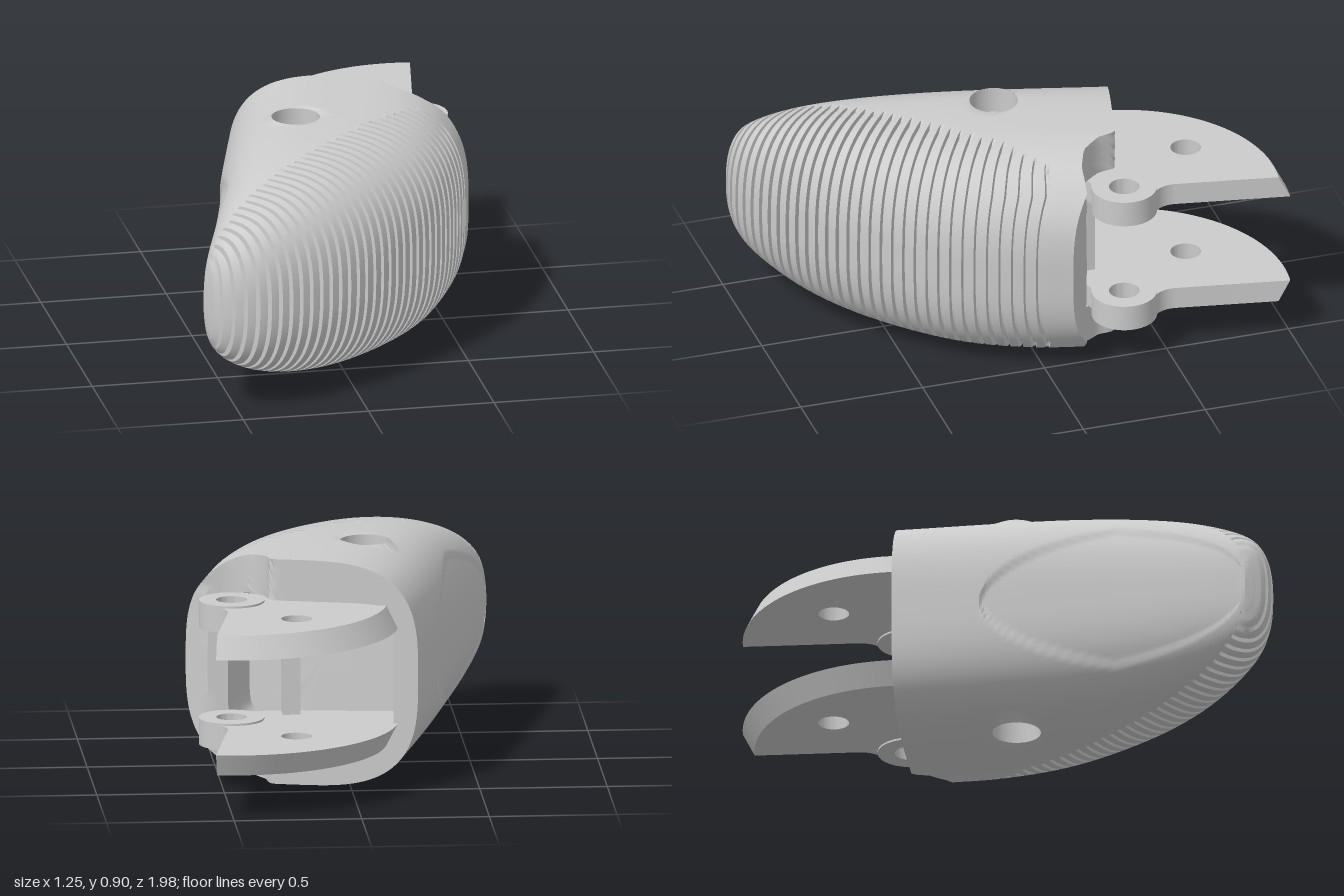
import * as THREE from 'three';
import { toCreasedNormals } from 'three/addons/utils/BufferGeometryUtils.js';

const MID = 0.45, SEG = 140;
const material = new THREE.MeshStandardMaterial({ color: 0xcccccc });
const twoSided = new THREE.MeshStandardMaterial({ color: 0xcccccc, side: THREE.DoubleSide });
const curve = (pts) => new THREE.CatmullRomCurve3(pts.map(([x, z]) => new THREE.Vector3(x, 0, z)));
const smooth = (x) => THREE.MathUtils.smoothstep(x, 0, 1);

// Plan outline of the fingertip: nail side, pad side and notched base edge
const nailSide = curve([[-0.26, -0.49], [-0.37, -0.1], [-0.49, 0.35], [-0.59, 0.7], [-0.63, 0.86]]);
const padSide = curve([[0.62, -0.08], [0.56, 0.1], [0.42, 0.36], [0.2, 0.61], [0, 0.78], [-0.2, 0.9],
  [-0.42, 0.985], [-0.54, 0.975], [-0.6, 0.93], [-0.63, 0.86]]);
const baseEdge = [[0, -0.26, -0.49], [0.6, 0.31, -0.35], [0.66, 0.32, -0.28], [0.74, 0.38, -0.2],
  [0.84, 0.46, -0.165], [0.93, 0.55, -0.16], [1, 0.62, -0.08]];

function baseAt(u) {
  let i = 0;
  while (i < baseEdge.length - 2 && u > baseEdge[i + 1][0]) i++;
  const [a, b] = [baseEdge[i], baseEdge[i + 1]];
  const f = (u - a[0]) / (b[0] - a[0]);
  return new THREE.Vector3(a[1] + (b[1] - a[1]) * f, 0, a[2] + (b[2] - a[2]) * f);
}

// Maps t (base to tip) and u (nail to pad side) to the plan; the base edge fades out with t
function makePlan(t) {
  const l = nailSide.getPointAt(t), r = padSide.getPointAt(t);
  const l0 = nailSide.getPointAt(0), r0 = padSide.getPointAt(0);
  const k = Math.max(0, 1 - t / 0.3) ** 2;
  const at = (u) => {
    const p = l.clone().lerp(r, u);
    if (k > 0) p.addScaledVector(baseAt(u).sub(l0.clone().lerp(r0, u)), k);
    return p;
  };
  return { at, width: l.distanceTo(r) };
}

// Superellipse in section coordinates
function sectionPoint(j, n) {
  const a = (j / SEG) * Math.PI * 2, c = Math.cos(a), s = Math.sin(a);
  const r = 1 / (Math.abs(c) ** n + Math.abs(s) ** n) ** (1 / n);
  return { c, s, u: r * c, v: r * s };
}

// Outer ring; groove = 1 sinks the pad surface between two ribs
function outerRing(t, groove) {
  const plan = makePlan(t), h = 0.45 * Math.sqrt(1 - t ** 3), n = 3.2 - 0.9 * t;
  const across = plan.at(1).sub(plan.at(0)).normalize();
  const padEdge = t < 0.2 ? 0.9 - 1.1 * t : 0.68 - 0.55 * (t - 0.2);
  const nailLimit = 0.75 * Math.sqrt(Math.min(1, Math.max(0, (t - 0.25) / 0.35)));
  return Array.from({ length: SEG }, (_, j) => {
    const { c, s, u, v } = sectionPoint(j, n);
    const uu = 0.5 + 0.5 * u;
    const ribs = groove * 0.024 * smooth((uu - padEdge) / 0.03);
    const nail = u < 0 ? 0.012 * smooth((nailLimit - Math.abs(v)) / 0.05) : 0;
    const depth = Math.min(ribs + nail, 0.15 * plan.width);
    const p = plan.at(uu).addScaledVector(across, -depth * c);
    p.y = MID + v * h - depth * s;
    return p;
  });
}

// Ring inside the base: f = 0 is the cavity edge, f = 1 the outer edge
function innerRing(t, f, size = 1) {
  const plan = makePlan(t), mix = THREE.MathUtils.lerp;
  return Array.from({ length: SEG }, (_, j) => {
    const i = sectionPoint(j, 9), o = sectionPoint(j, 3.2);
    const p = plan.at(mix(0.47 + 0.37 * i.u * size, 0.5 + 0.5 * o.u, f));
    p.y = MID + mix(0.285 * i.v * size, 0.45 * o.v, f);
    return p;
  });
}

// Skin over rings, with round openings for the cross bore
const BORE = { x: -0.09, z: 0.02, r: 0.095, half: 0.437 };
function loft(rings, boreFrom) {
  const pts = rings.flat(), index = [];
  const dist = (p) => Math.hypot(p.x - BORE.x, p.z - BORE.z);
  const inside = pts.map((p, i) => i >= boreFrom * SEG && Math.abs(p.y - MID) > 0.3 && dist(p) < BORE.r);
  const rim = new Set();
  for (let i = 0; i < rings.length - 1; i++) {
    for (let j = 0; j < SEG; j++) {
      const a = i * SEG + j, b = i * SEG + (j + 1) % SEG, c = a + SEG, d = b + SEG;
      for (const tri of [[a, b, c], [b, d, c]]) {
        if (tri.some((k) => inside[k])) tri.forEach((k) => inside[k] || rim.add(k));
        else index.push(...tri);
      }
    }
  }
  for (const k of rim) {
    const p = pts[k], f = BORE.r / dist(p);
    p.set(BORE.x + (p.x - BORE.x) * f, MID + Math.sign(p.y - MID) * BORE.half, BORE.z + (p.z - BORE.z) * f);
  }
  const geo = new THREE.BufferGeometry().setFromPoints(pts);
  geo.setIndex(index);
  return toCreasedNormals(geo, 0.6);
}

function makeBody() {
  const rings = [innerRing(0.2, 0, 0.001), innerRing(0.2, 0, 0.5), innerRing(0.2, 0)];
  for (const t of [0.2, 0.15, 0.1, 0.05, 0]) rings.push(innerRing(t, 0));
  for (const f of [0, 0.25, 0.5, 0.75, 1]) rings.push(innerRing(0, f));
  const outerStart = rings.length;
  for (let i = 0; i <= 8; i++) rings.push(outerRing(i * 0.008, 0));
  const count = 34, t0 = 0.07, pitch = 0.92 / count;
  const profile = [[0, 0], [0.05, 1], [0.3, 1], [0.36, 0], [0.57, 0], [0.78, 0]];
  for (let i = 0; i < count; i++) {
    for (const [f, groove] of profile) rings.push(outerRing(t0 + (i + f) * pitch, groove));
  }
  for (const t of [0.99, 0.994, 0.997, 0.999, 0.9999]) rings.push(outerRing(t, 0));
  return loft(rings, outerStart);
}

function lathe(profile, sides = 48) {
  const geo = new THREE.LatheGeometry(profile.map(([x, y]) => new THREE.Vector2(x, y)), sides);
  return toCreasedNormals(geo, 0.5);
}

// Hinge plate, with the curved edge chamfered towards its outer face
const HINGE = { x: 0.46, z: -0.34 };
function makeArm(side) {
  const shape = new THREE.Shape();
  shape.moveTo(-0.188, -0.25);
  shape.lineTo(0.3, -0.2);
  shape.lineTo(0.4, -0.23);
  shape.absarc(HINGE.x, HINGE.z, 0.125, 2.07, -0.785, true);
  shape.quadraticCurveTo(0.48, -0.47, 0.49, -0.54);
  shape.lineTo(0.57, -0.985);
  shape.absarc(HINGE.x, HINGE.z, 0.655, -1.403, -3.28, true);
  for (const [x, z] of [[HINGE.x, HINGE.z], [0.23, -0.665]]) {
    shape.holes.push(new THREE.Path().absarc(x, z, 0.06, 0, Math.PI * 2, false));
  }
  const geo = new THREE.ExtrudeGeometry(shape, { depth: 0.09, bevelEnabled: false, curveSegments: 40 });
  geo.rotateX(Math.PI / 2).translate(0, 0.045, 0);
  const pos = geo.attributes.position;
  for (let i = 0; i < pos.count; i++) {
    const dx = pos.getX(i) - HINGE.x, dz = pos.getZ(i) - HINGE.z;
    if (Math.hypot(dx, dz) > 0.62 && pos.getY(i) * side > 0) {
      pos.setX(i, HINGE.x + dx * 0.93);
      pos.setZ(i, HINGE.z + dz * 0.93);
    }
  }
  return toCreasedNormals(geo, 0.5);
}

export function createModel() {
  const group = new THREE.Group();
  const add = (name, geo, x = 0, y = 0, z = 0, mat = material) => {
    const mesh = new THREE.Mesh(geo, mat);
    mesh.name = name;
    mesh.position.set(x, y, z);
    group.add(mesh);
  };
  add('ribbedFingertip', makeBody());

  // Counterbored pin hole running through the body
  const h = BORE.half;
  add('pinBore', lathe([[0.095, -h], [0.095, -0.33], [0.05, -0.33], [0.05, -0.3], [0.036, -0.3],
    [0.036, 0.3], [0.05, 0.3], [0.05, 0.33], [0.095, 0.33], [0.095, h]]), BORE.x, MID, BORE.z, twoSided);

  // Pair of hinge plates with raised rings round the pivot
  for (const side of [1, -1]) {
    const y = MID + side * 0.235;
    add(side > 0 ? 'upperHingePlate' : 'lowerHingePlate', makeArm(side), 0, y, 0);
    add('hingeRing', lathe([[0.06, -0.053], [0.128, -0.053], [0.128, 0.053], [0.06, 0.053], [0.06, -0.053]]),
      HINGE.x, y, HINGE.z);
  }

  // Post joining the plates inside the cavity
  add('innerPost', new THREE.BoxGeometry(0.07, 0.4, 0.07), 0.22, MID, -0.25);
  return group;
}
